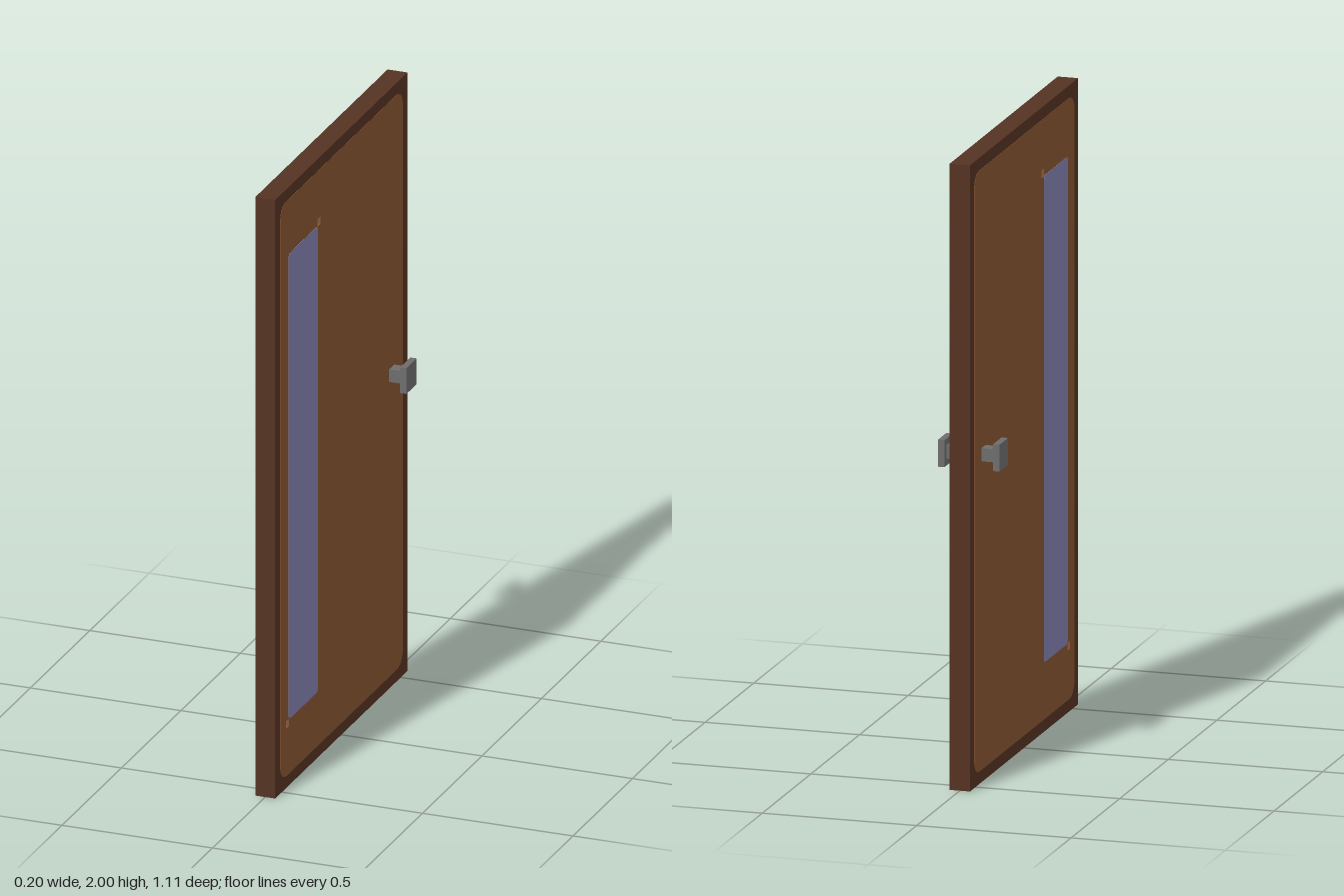
import * as THREE from 'three';

const frameBrown = new THREE.MeshStandardMaterial({ name: 'dark brown', color: 0x553322 });
const panelBrown = new THREE.MeshStandardMaterial({ name: 'warm brown', color: 0x885533 });
const glassBlue = new THREE.MeshStandardMaterial({ name: 'pale violet glass', color: 0x8481b0 });
const metalGrey = new THREE.MeshStandardMaterial({ name: 'grey metal', color: 0x6d6d6d });

// Rectangle with optional round corners, drawn in (-z, y)
function outline(z0, z1, y0, y1, r = 0, Kind = THREE.Shape) {
  const a = -z1, b = -z0, p = new Kind();
  p.moveTo(a + r, y0);
  p.lineTo(b - r, y0);
  if (r) p.absarc(b - r, y0 + r, r, -Math.PI / 2, 0);
  p.lineTo(b, y1 - r);
  if (r) p.absarc(b - r, y1 - r, r, 0, Math.PI / 2);
  p.lineTo(a + r, y1);
  if (r) p.absarc(a + r, y1 - r, r, Math.PI / 2, Math.PI);
  p.lineTo(a, y0 + r);
  if (r) p.absarc(a + r, y0 + r, r, Math.PI, Math.PI * 1.5);
  p.closePath();
  return p;
}

// Slab centred on x = 0, facing both ways along x
function slab(name, shape, thickness, material) {
  const geo = new THREE.ExtrudeGeometry(shape, { depth: thickness, bevelEnabled: false, curveSegments: 6 });
  geo.translate(0, 0, -thickness / 2).rotateY(Math.PI / 2);
  const mesh = new THREE.Mesh(geo, material);
  mesh.name = name;
  return mesh;
}

function box(name, w, h, d, x) {
  const mesh = new THREE.Mesh(new THREE.BoxGeometry(w, h, d), metalGrey);
  mesh.name = name;
  mesh.position.x = x;
  return mesh;
}

export function createModel() {
  const door = new THREE.Group();
  door.name = 'door';

  // Outer frame around the panel
  const frame = outline(-0.556, 0.556, 0, 2);
  frame.holes.push(outline(-0.515, 0.515, 0.04, 1.96, 0.05, THREE.Path));
  door.add(slab('frame', frame, 0.066, frameBrown));

  // Round-cornered panel with two small through-holes at the window corners
  const panel = outline(-0.515, 0.515, 0.04, 1.96, 0.05);
  panel.holes.push(outline(0.177, 0.201, 1.776, 1.8, 0, THREE.Path));
  panel.holes.push(outline(0.444, 0.468, 0.2, 0.224, 0, THREE.Path));
  door.add(slab('panel', panel, 0.068, panelBrown));

  // Tall window, showing on both faces
  door.add(slab('window', outline(0.201, 0.446, 0.222, 1.778, 0.014), 0.07, glassBlue));

  // Square knob on each face
  for (const side of [1, -1]) {
    const handle = new THREE.Group();
    handle.name = side > 0 ? 'leftHandle' : 'rightHandle';
    handle.position.set(0, 1.047, -0.421);
    handle.add(box('stem', 0.048, 0.042, 0.042, side * 0.056));
    handle.add(box('knobPlate', 0.021, 0.086, 0.086, side * 0.0895));
    door.add(handle);
  }
  return door;
}
